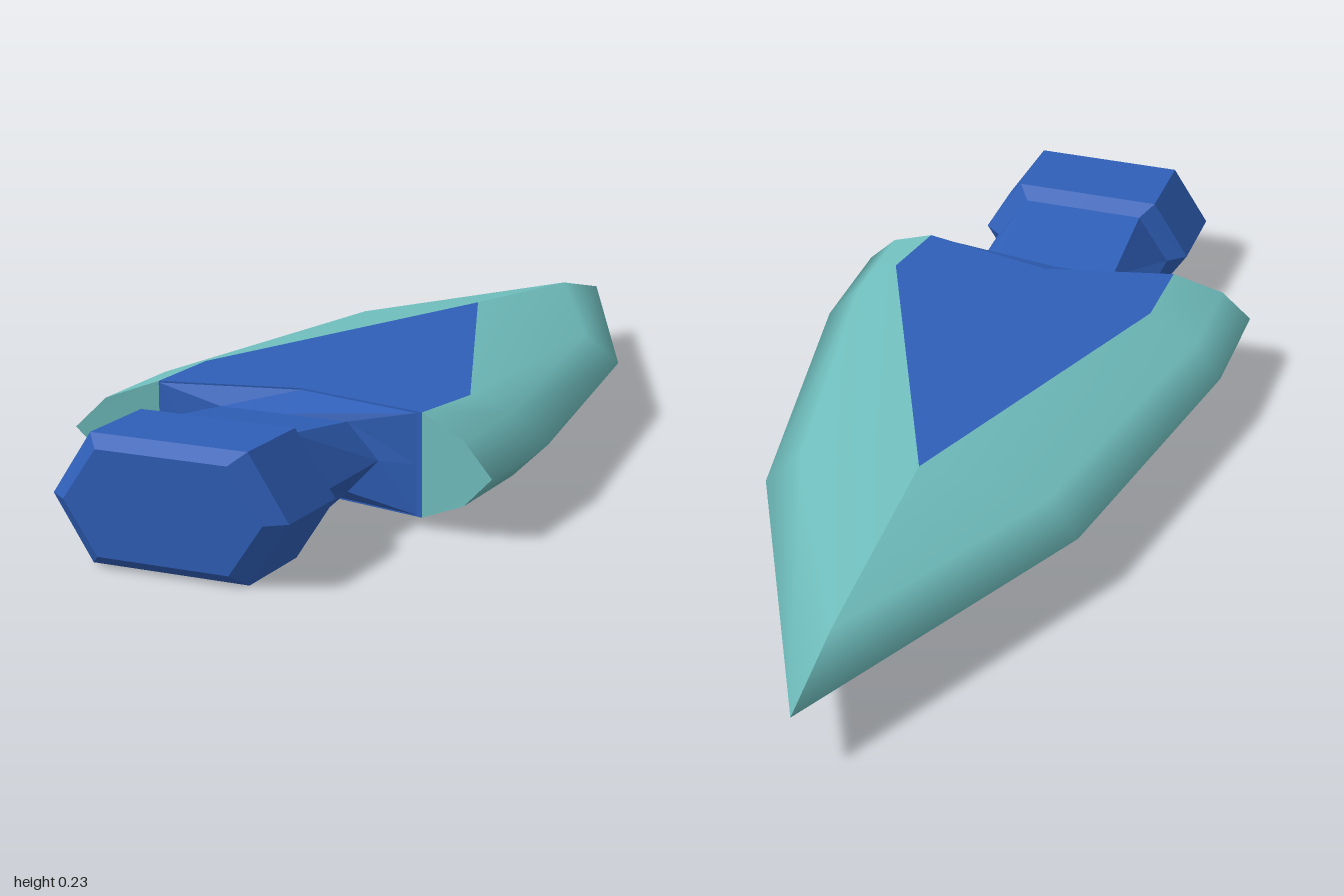
import * as THREE from 'three';
import { mergeVertices } from 'three/addons/utils/BufferGeometryUtils.js';

const CY = 0.117; // height of the middle plane
const HALF = 0.098; // half thickness of the flat core

// Skin rows of points (each counter-clockwise seen from +z, rows ordered from -z to +z)
function skin(rows, closed) {
  const n = rows[0].length;
  const index = [];
  for (let s = 0; s < rows.length - 1; s++) {
    for (let i = 0; i < (closed ? n : n - 1); i++) {
      const a = s * n + i, b = s * n + (i + 1) % n;
      index.push(a, b, b + n, a, b + n, a + n);
    }
  }
  return surface(rows.flat(), index);
}

// Flat end facing +z
function endCap(points) {
  const index = [];
  for (let i = 1; i < points.length - 1; i++) index.push(0, i, i + 1);
  return surface(points, index);
}

function surface(points, index) {
  const geo = new THREE.BufferGeometry();
  geo.setAttribute('position', new THREE.Float32BufferAttribute(points.flat(), 3));
  geo.setIndex(index);
  const merged = mergeVertices(geo);
  merged.computeVertexNormals();
  return merged;
}

export function createModel() {
  const group = new THREE.Group();
  const teal = new THREE.MeshStandardMaterial({ color: 0x6fbcbc });
  const blue = new THREE.MeshStandardMaterial({ color: 0x2f5fb8, flatShading: true });
  const add = (name, geo, mat) => {
    const mesh = new THREE.Mesh(geo, mat);
    mesh.name = name;
    group.add(mesh);
  };

  // Core outline as [x, z]: apex, shoulder and rear corner of each side, rear notch
  const apex = [0, -0.325], notch = [0, 0.481];
  const leftSide = [[0.303, 0.395], [0.276, 0.546]];
  const rightSide = [[-0.262, 0.37], [-0.265, 0.544]];

  // Core: arrow-shaped plate, flush with the top of the blade's bevels
  const outline = [apex, ...rightSide, notch, ...[...leftSide].reverse()];
  const shape = new THREE.Shape(outline.map(([x, z]) => new THREE.Vector2(x, -z)));
  const core = new THREE.ExtrudeGeometry(shape, { depth: 2 * HALF, bevelEnabled: false });
  core.rotateX(-Math.PI / 2).translate(0, CY - HALF, 0);
  add('core', core, blue);

  // Blade: two bevels from the cutting edge in to the core, on each side
  const edge = [[0, -1], [0.315, -0.325], [0.427, 0.32], [0.427, 0.578]];
  const middle = [[0, -0.8, 0.048], [0.25, -0.3, 0.06], [0.367, 0.345, 0.06], [0.367, 0.566, 0.06]];
  for (const [name, sign, inner] of [['left', 1, leftSide], ['right', -1, rightSide]]) {
    const top = [apex, apex, ...inner];
    const rows = edge.map(([ex, ez], s) => {
      const [mx, mz, mh] = middle[s];
      const [tx, tz] = top[s];
      const row = [
        [tx, CY - HALF, tz], [sign * mx, CY - mh, mz], [sign * ex, CY, ez],
        [sign * mx, CY + mh, mz], [tx, CY + HALF, tz],
      ];
      return sign > 0 ? row : row.reverse();
    });
    add(name + 'Blade', skin(rows, false), teal);
    add(name + 'BladeRear', endCap(rows[3]), teal);
  }

  // Neck flaring into the core, and six-sided chamfered pommel
  const ring = (side, flat, h, zAt) => [
    [side, 0], [flat, h], [0, h], [-flat, h], [-side, 0], [-flat, -h], [0, -h], [flat, -h],
  ].map(([x, y]) => [x, CY + y, zAt(x)]);
  const handle = [
    ring(0.265, 0.265, HALF - 0.003, (x) => 0.481 + 0.24 * Math.abs(x)),
    ring(0.192, 0.13, 0.066, () => 0.552),
    ring(0.194, 0.128, 0.096, () => 0.767),
    ring(0.23, 0.153, 0.117, () => 0.8),
    ring(0.23, 0.153, 0.117, () => 0.972),
    ring(0.194, 0.128, 0.096, () => 1),
  ];
  add('neckAndPommel', skin(handle, true), blue);
  add('pommelEnd', endCap(handle[5]), blue);

  return group;
}
